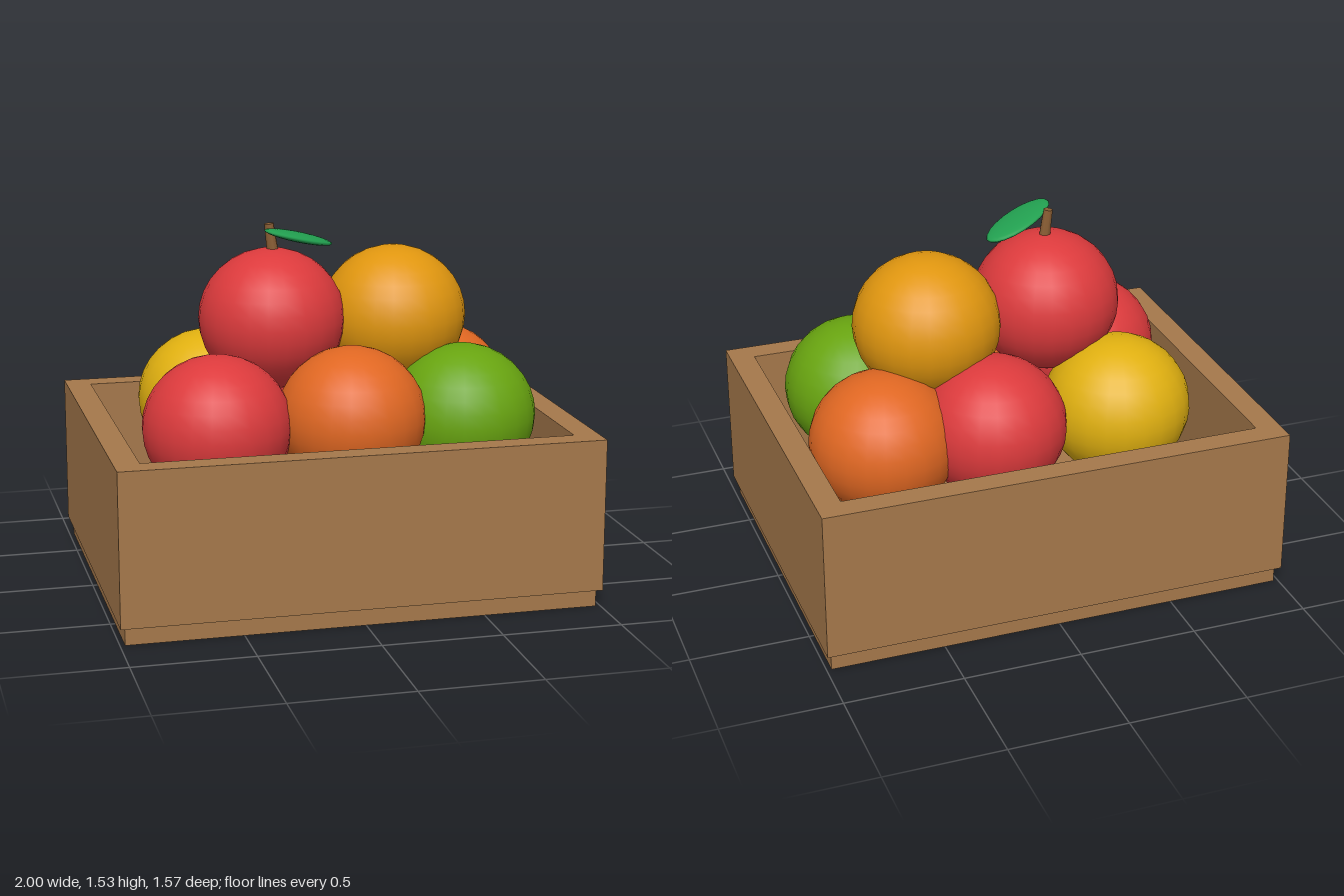
import * as THREE from 'three';

const mat = (name, color) => {
  const m = new THREE.MeshStandardMaterial({ color });
  m.name = name;
  return m;
};

export function createModel() {
  const model = new THREE.Group();
  model.name = 'fruitCrate';

  const wood = mat('wood', 0xa5784b);
  const red = mat('red', 0xdc3a3c);
  const orange = mat('orange', 0xe06722);
  const amber = mat('amber', 0xe0960f);
  const green = mat('green', 0x68a410);
  const yellow = mat('yellow', 0xe0b010);
  const leafGreen = mat('leafGreen', 0x22a050);
  const bark = mat('bark', 0x8b5e34);

  const add = (name, geometry, material, x, y, z) => {
    const mesh = new THREE.Mesh(geometry, material);
    mesh.name = name;
    mesh.position.set(x, y, z);
    model.add(mesh);
    return mesh;
  };

  // Base slab, slightly inset under the walls
  add('crateBase', new THREE.BoxGeometry(1.96, 0.1, 1.52), wood, 0, 0.05, 0);

  // Walls: one rectangular frame with an open middle
  const rect = (Type, w, d) => {
    const r = new Type();
    r.moveTo(-w, -d).lineTo(w, -d).lineTo(w, d).lineTo(-w, d).closePath();
    return r;
  };
  const frame = rect(THREE.Shape, 1, 0.785);
  frame.holes.push(rect(THREE.Path, 0.895, 0.68));
  const walls = new THREE.ExtrudeGeometry(frame, { depth: 0.64, bevelEnabled: false });
  walls.rotateX(-Math.PI / 2);
  add('crateWalls', walls, wood, 0, 0.075, 0);

  // Fruit: slightly flattened balls, six below and two on top
  const ball = new THREE.SphereGeometry(0.31, 24, 16);
  ball.scale(1, 0.96, 1);
  const fruits = [
    ['frontLeftFruit', green, 0.55, 0.725, 0.25],
    ['frontMiddleFruit', orange, 0.05, 0.755, 0.325],
    ['frontRightFruit', red, -0.51, 0.74, 0.29],
    ['backLeftFruit', orange, 0.585, 0.71, -0.25],
    ['backMiddleFruit', red, 0.135, 0.735, -0.315],
    ['backRightFruit', yellow, -0.43, 0.727, -0.29],
    ['topLeftFruit', amber, 0.325, 1.107, -0.037],
    ['topRightFruit', red, -0.215, 1.122, 0],
  ];
  for (const [name, material, x, y, z] of fruits) add(name, ball, material, x, y, z);

  // Stem and leaf on the top fruit
  const stem = add('stem', new THREE.CylinderGeometry(0.02, 0.026, 0.15, 8), bark, -0.215, 1.449, 0);
  stem.rotation.z = 0.13;
  const leafShape = new THREE.SphereGeometry(1, 20, 12);
  leafShape.scale(0.18, 0.02, 0.087);
  const leaf = add('leaf', leafShape, leafGreen, -0.11, 1.47, 0.052);
  leaf.rotation.set(0, 0.485, -0.27, 'ZYX');

  return model;
}
